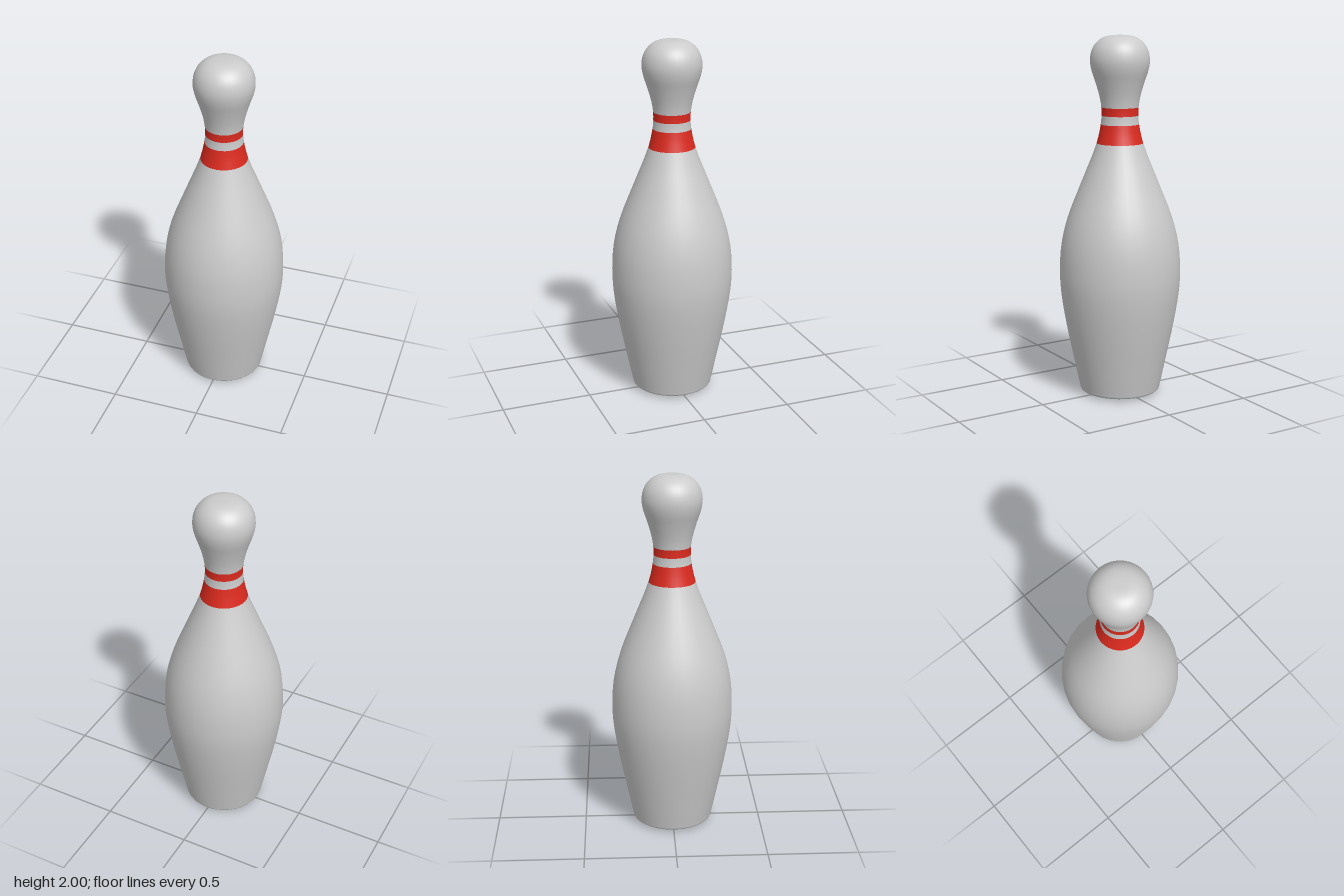
import * as THREE from 'three';

const STEPS = 3; // samples between neighbouring profile points
const SIDES = 32;

// radius, height from the base centre to the crown
const PROFILE = [
  [0, 0], [0.12, 0.002], [0.2, 0.01], [0.222, 0.018], [0.228, 0.04],
  [0.262, 0.2], [0.303, 0.4], [0.331, 0.58], [0.337, 0.7], [0.326, 0.85],
  [0.29, 1.0], [0.212, 1.2], [0.128, 1.413],
  [0.105, 1.517], [0.101, 1.565], [0.102, 1.61],
  [0.112, 1.67], [0.135, 1.75], [0.155, 1.81], [0.163, 1.865], [0.153, 1.92],
  [0.128, 1.96], [0.092, 1.987], [0.05, 1.998], [0, 2],
];

// consecutive slices of the profile: name, first point, last point, colour
const SECTIONS = [
  ['body', 0, 12, 0xcccccc],
  ['lowerStripe', 12, 13, 0xdc2a1e],
  ['neckGap', 13, 14, 0xcccccc],
  ['upperStripe', 14, 15, 0xdc2a1e],
  ['head', 15, PROFILE.length - 1, 0xcccccc],
];

export function createModel() {
  const group = new THREE.Group();
  group.name = 'bowlingPin';

  // smooth outline passing through every profile point
  const curve = new THREE.CatmullRomCurve3(
    PROFILE.map(([r, y]) => new THREE.Vector3(r, y, 0)), false, 'centripetal');
  const outline = curve.getPoints((PROFILE.length - 1) * STEPS)
    .map((p) => new THREE.Vector2(Math.max(0, p.x), THREE.MathUtils.clamp(p.y, 0, 2)));

  for (const [name, first, last, color] of SECTIONS) {
    const points = outline.slice(first * STEPS, last * STEPS + 1);
    const mesh = new THREE.Mesh(
      new THREE.LatheGeometry(points, SIDES),
      new THREE.MeshStandardMaterial({ color }));
    mesh.name = name;
    group.add(mesh);
  }
  return group;
}
